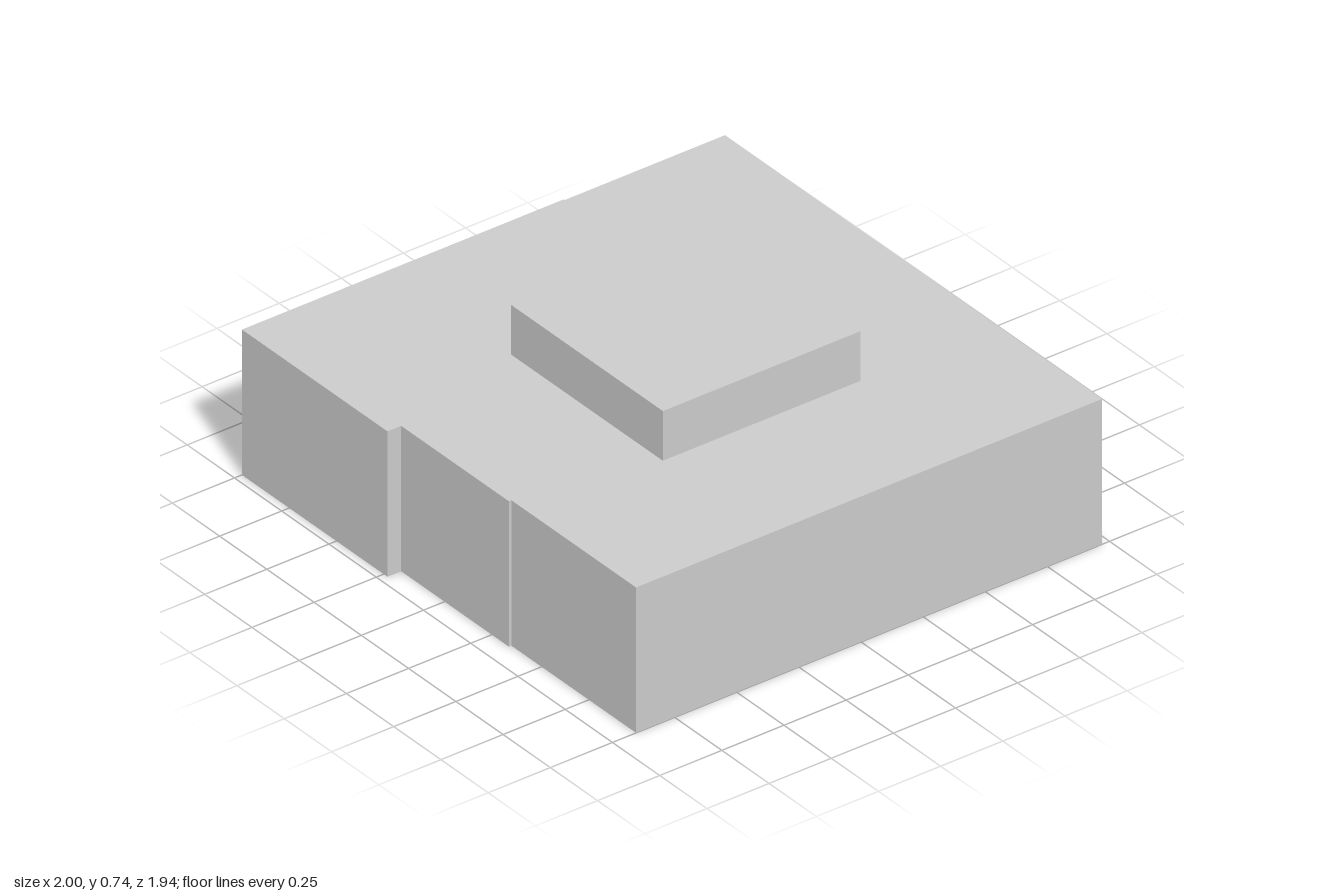
import * as THREE from 'three';

export function createModel() {
  const group = new THREE.Group();
  const material = new THREE.MeshStandardMaterial({ color: 0xcccccc, flatShading: true });

  // Extrudes a footprint of [x, z] corners from height y0 up to y1
  function slab(name, corners, y0, y1) {
    const shape = new THREE.Shape(corners.map(([x, z]) => new THREE.Vector2(x, -z)));
    const geometry = new THREE.ExtrudeGeometry(shape, { depth: y1 - y0, bevelEnabled: false });
    geometry.rotateX(-Math.PI / 2).translate(0, y0, 0);
    const mesh = new THREE.Mesh(geometry, material);
    mesh.name = name;
    group.add(mesh);
  }

  // Main block: stepped front face and a slight step on the right-hand wall
  slab('mainBlock', [
    [-1, 0.97], [-0.23, 0.97], [-0.23, 0.915], [0.34, 0.915], [0.34, 0.905], [1, 0.905],
    [1, -0.97], [-0.995, -0.97], [-0.995, -0.325], [-1, -0.325],
  ], 0, 0.55);

  // Raised block on the roof, slightly off centre
  slab('roofBlock', [[-0.36, 0.375], [0.445, 0.375], [0.445, -0.42], [-0.36, -0.42]], 0.55, 0.738);

  return group;
}
